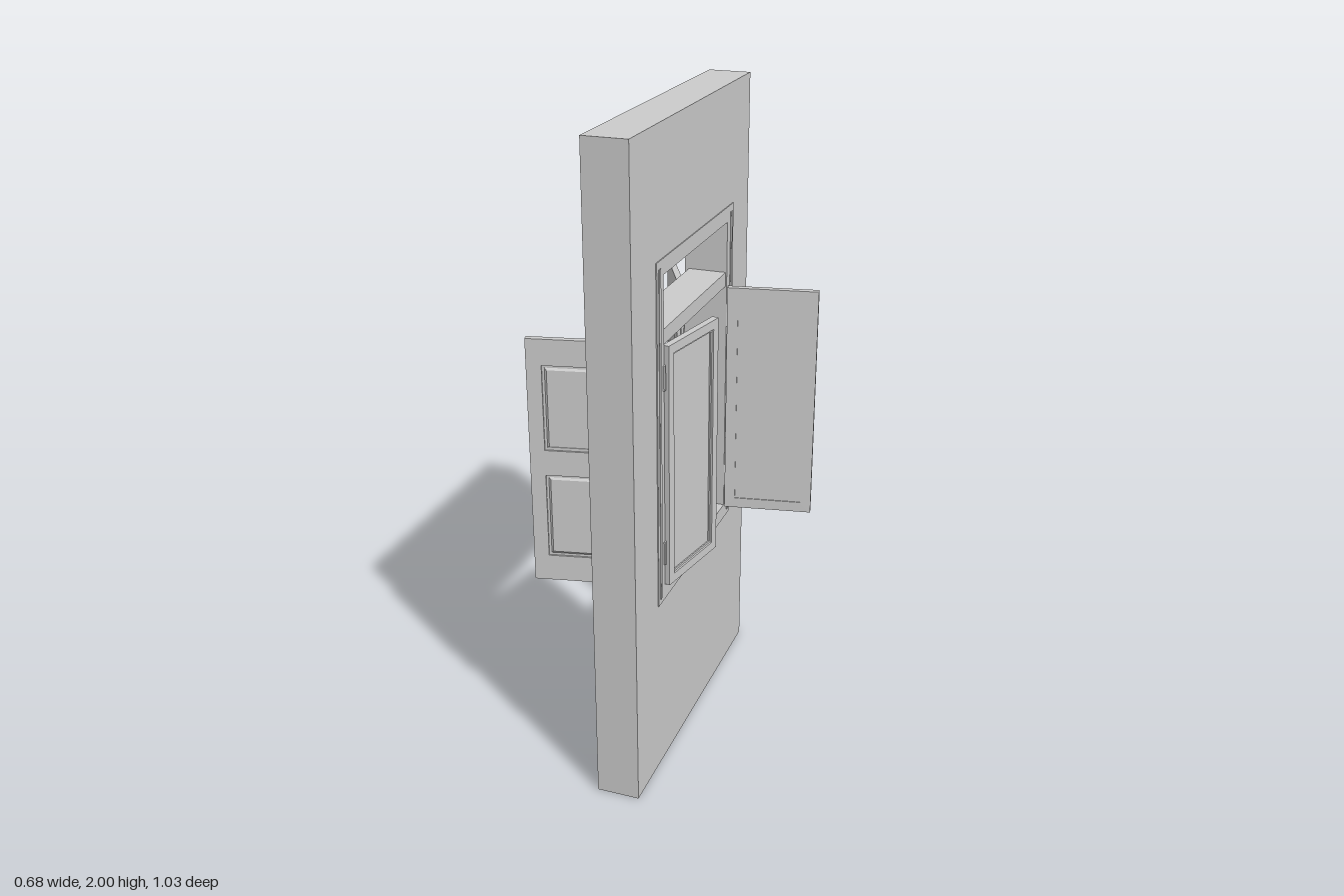
import * as THREE from 'three';

const grey = new THREE.MeshStandardMaterial({ color: 0xcccccc, flatShading: true });

function mesh(geometry, name) {
  const m = new THREE.Mesh(geometry, grey);
  m.name = name;
  return m;
}

function box(name, w, h, d, x, y, z) {
  const m = mesh(new THREE.BoxGeometry(w, h, d), name);
  m.position.set(x, y, z);
  return m;
}

// Rectangles are [x0, x1, y0, y1]
function corners([x0, x1, y0, y1]) {
  return [[x0, y0], [x1, y0], [x1, y1], [x0, y1]].map(p => new THREE.Vector2(...p));
}

function plate(outer, holes, depth) {
  const shape = new THREE.Shape(corners(outer));
  for (const h of holes) shape.holes.push(new THREE.Path(corners(h)));
  return new THREE.ExtrudeGeometry(shape, { depth, bevelEnabled: false });
}

// Plate in the plane of the wall, running from x0 to x1
function wallPlate(name, outer, holes, x0, x1) {
  const g = plate(outer, holes, x1 - x0);
  g.rotateY(-Math.PI / 2).translate(x1, 0, 0);
  return mesh(g, name);
}

// Glazed sash: local x from the hinge, deep glass recess on the "deep" side
function sash(name, w, h, border, deep) {
  const g = new THREE.Group();
  g.name = name;
  const t = 0.021;
  const inner = [border, w - border, border, h - border];
  const frame = mesh(plate([0, w, 0, h], [inner], t).translate(0, 0, -t / 2), name + 'Frame');
  const pane = box(name + 'Pane', w - 2 * border, h - 2 * border, 0.008, w / 2, h / 2, -deep * 0.0035);
  g.add(frame, pane);
  // thin glazing bead on the deep side
  const b = border + 0.007;
  const bead = mesh(plate(inner, [[b, w - b, b, h - b]], 0.004), name + 'Bead');
  bead.position.z = deep > 0 ? 0.0005 : -0.0045;
  g.add(bead);
  return g;
}

// Raised field with sloping sides, on both faces of a shutter
function field(w, h, side) {
  const g = new THREE.BoxGeometry(w, h, 0.005);
  const p = g.attributes.position;
  for (let i = 0; i < p.count; i++) {
    if (p.getZ(i) * side > 0) {
      p.setX(i, p.getX(i) - Math.sign(p.getX(i)) * 0.008);
      p.setY(i, p.getY(i) - Math.sign(p.getY(i)) * 0.008);
    }
  }
  return g;
}

// Solid shutter with two fielded panels
function shutter(name) {
  const g = new THREE.Group();
  g.name = name;
  const w = 0.26, h = 0.775, t = 0.02;
  const panels = [[0.068, 0.215, 0.083, 0.35], [0.068, 0.215, 0.43, 0.695]];
  g.add(mesh(plate([0, w, 0, h], panels, t).translate(0, 0, -t / 2), 'shutterFrame'));
  for (const [x0, x1, y0, y1] of panels) {
    const cx = (x0 + x1) / 2, cy = (y0 + y1) / 2;
    g.add(box('panelCore', x1 - x0, y1 - y0, 0.009, cx, cy, 0));
    for (const s of [-1, 1]) {
      const f = mesh(field(x1 - x0 - 0.012, y1 - y0 - 0.012, s), 'raisedPanel');
      f.position.set(cx, cy, s * 0.006);
      g.add(f);
    }
  }
  return g;
}

// Stand a leaf at its hinge, pointing along (dx, dz)
function hang(leaf, x, y, z, dx, dz) {
  leaf.position.set(x, y, z);
  leaf.rotation.y = Math.atan2(-dz, dx);
  return leaf;
}

function hinge(name, x, y, z) {
  const m = mesh(new THREE.CylinderGeometry(0.006, 0.006, 0.075, 10), name);
  m.position.set(x, y, z);
  return m;
}

export function createModel() {
  const model = new THREE.Group();
  model.name = 'wallWithWindow';
  const X0 = -0.077, X1 = 0.055;
  const opening = [-0.27, 0.285, 0.62, 1.585];
  const trimOuter = [-0.328, 0.337, 0.572, 1.632];

  // Wall and trim on both faces
  model.add(wallPlate('wall', [-0.485, 0.515, 0, 2], [opening], X0, X1));
  model.add(wallPlate('innerTrim', trimOuter, [opening], X1, X1 + 0.003));
  model.add(wallPlate('outerTrim', trimOuter, [opening], X0 - 0.003, X0));
  for (const z of [-0.307, 0.316]) {
    model.add(box('trimBead', 0.003, 1.02, 0.014, X1 + 0.0035, 1.1, z));
  }

  // Bar between window and transom, sill outside
  model.add(box('transomBar', 0.12, 0.045, 0.555, -0.006, 1.4025, 0.0075));
  model.add(box('sill', 0.03, 0.027, 0.665, -0.091, 0.586, 0.0045));

  // Inward opening casements
  model.add(hang(sash('frontCasement', 0.278, 0.76, 0.028, 1), 0.062, 0.62, 0.283, 0.053, -0.268));
  model.add(hang(sash('backCasement', 0.284, 0.76, 0.034, -1), 0.062, 0.62, -0.27, 0.28, -0.054));

  // Outward opening shutters
  model.add(hang(shutter('frontShutter'), -0.085, 0.6, 0.286, -0.255, 0.056));
  model.add(hang(shutter('backShutter'), -0.1, 0.6, -0.284, -0.117, -0.227));

  // Tilted transom sash, hinged along its top edge
  const pivot = new THREE.Group();
  pivot.name = 'transomSashPivot';
  const transom = sash('transomSash', 0.55, 0.152, 0.02, 1);
  transom.position.set(-0.275, -0.152, 0);
  pivot.add(transom);
  pivot.rotation.order = 'YXZ';
  pivot.rotation.set(0.96, Math.PI / 2, 0);
  pivot.position.set(-0.047, 1.565, 0.006);
  model.add(pivot);

  // Hinges
  for (const y of [0.848, 1.2]) {
    model.add(hinge('shutterHinge', -0.088, y, 0.29));
    model.add(hinge('shutterHinge', -0.092, y, -0.282));
    for (const z of [-0.282, 0.29]) model.add(box('hingePlate', 0.016, 0.045, 0.006, -0.083, y, z));
  }
  for (const y of [0.73, 1.285]) {
    for (const z of [-0.276, 0.289]) model.add(hinge('casementHinge', 0.058, y, z));
  }
  return model;
}
